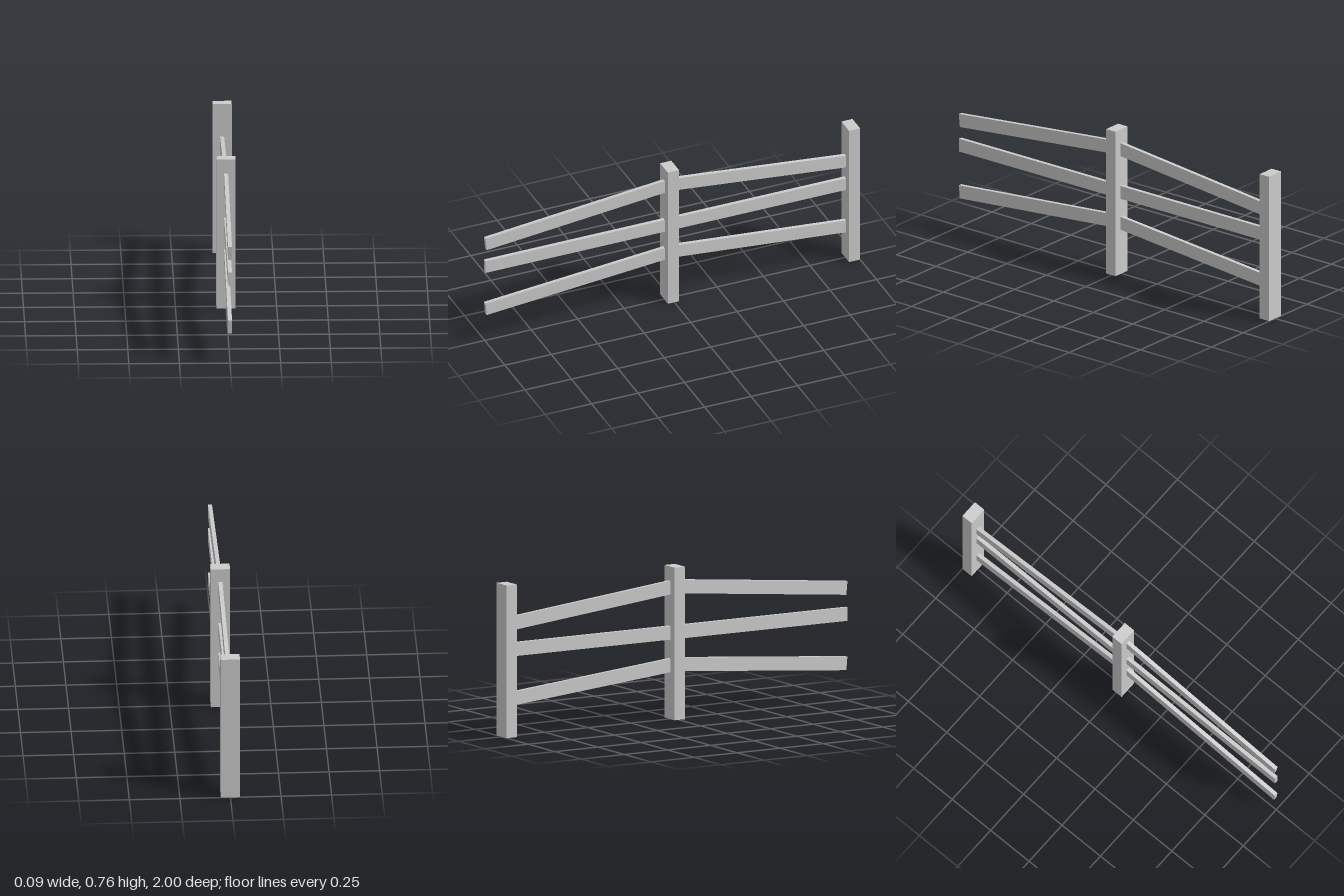
import * as THREE from 'three';

const POST = { w: 0.095, h: 0.765, d: 0.06 };
const RAIL = { w: 0.02, h: 0.068 };

export function createModel() {
  const group = new THREE.Group();
  const material = new THREE.MeshStandardMaterial({ color: 0xcccccc, flatShading: true });

  // Upright post standing on the ground
  function addPost(name, z) {
    const post = new THREE.Mesh(new THREE.BoxGeometry(POST.w, POST.h, POST.d), material);
    post.name = name;
    post.position.set(0, POST.h / 2, z);
    group.add(post);
  }

  // Rail running between two centre points, turned to follow its slope
  function addRail(name, zA, yA, zB, yB) {
    const length = Math.hypot(zB - zA, yB - yA);
    const rail = new THREE.Mesh(new THREE.BoxGeometry(RAIL.w, RAIL.h, length), material);
    rail.name = name;
    rail.position.set(0, (yA + yB) / 2, (zA + zB) / 2);
    rail.rotation.x = -Math.atan2(yB - yA, zB - zA);
    group.add(rail);
  }

  addPost('middlePost', 0.005);
  addPost('backPost', -0.97);

  // Centre heights at the middle post and at the outer end
  const rails = [
    { name: 'TopRail', inner: 0.66, outer: 0.564 },
    { name: 'MiddleRail', inner: 0.433, outer: 0.433 },
    { name: 'BottomRail', inner: 0.27, outer: 0.186 },
  ];
  for (const { name, inner, outer } of rails) {
    const lean = inner > outer ? 0.003 : 0;
    addRail('front' + name, 0.032, inner, 1 - lean, outer);
    addRail('back' + name, -0.942, outer, -0.022, inner);
  }
  return group;
}
